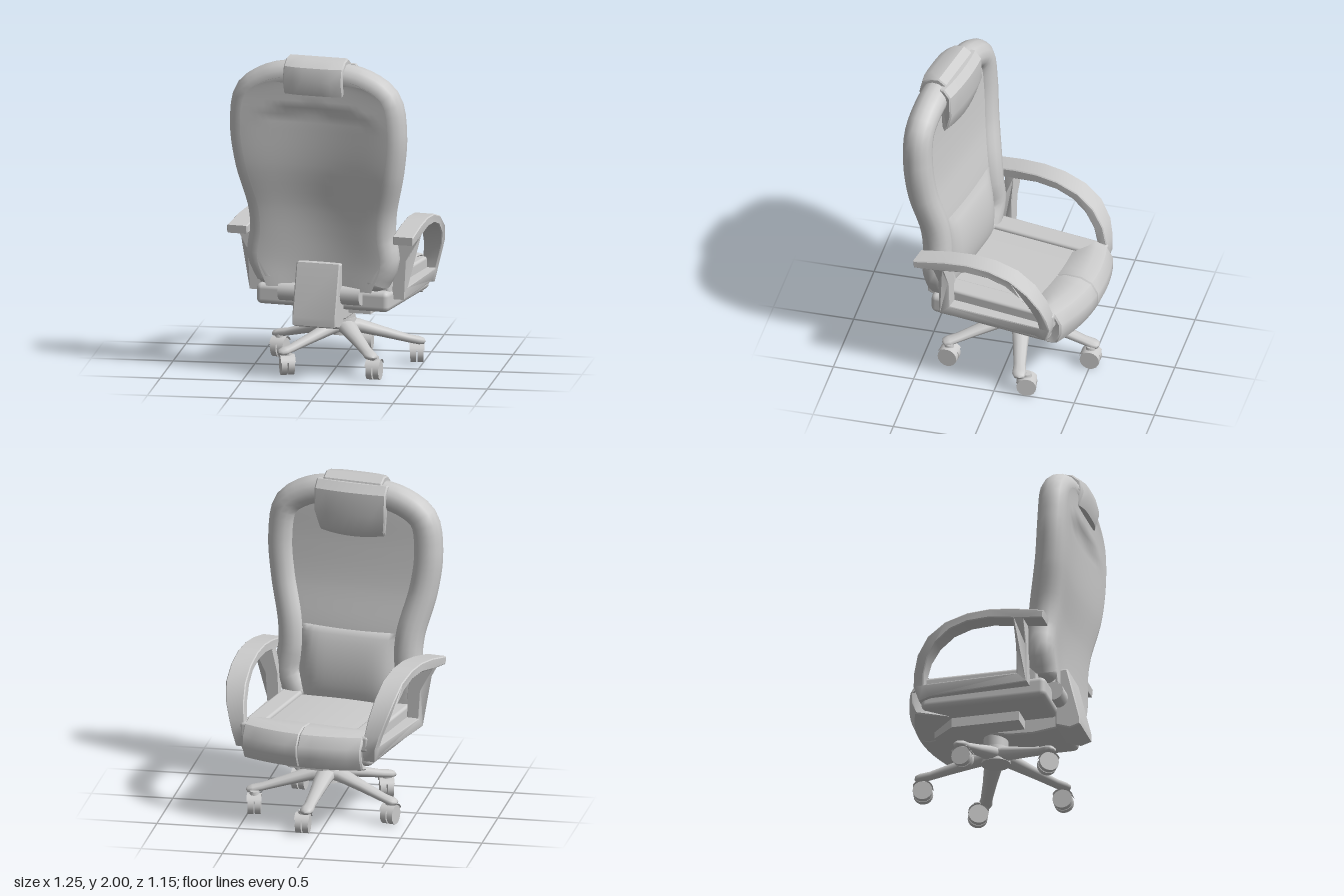
import * as THREE from 'three';
import { toCreasedNormals } from 'three/addons/utils/BufferGeometryUtils.js';
import { RoundedBoxGeometry } from 'three/addons/geometries/RoundedBoxGeometry.js';
import { ParametricGeometry } from 'three/addons/geometries/ParametricGeometry.js';

const grey = new THREE.MeshStandardMaterial({ color: 0xcccccc });
const thin = new THREE.MeshStandardMaterial({ color: 0xcccccc, side: THREE.DoubleSide });
const { smoothstep } = THREE.MathUtils;

function add(parent, name, geo, x = 0, y = 0, z = 0, mat = grey) {
  const m = new THREE.Mesh(geo, mat);
  m.name = name;
  m.position.set(x, y, z);
  parent.add(m);
  return m;
}

// Side profile of [z, y] points, extruded along x and centred
function sideExtrude(points, width, { hole, steps = 1, bevel = 0.008 } = {}) {
  const toV = (l) => l.map(([z, y]) => new THREE.Vector2(z, y));
  const shape = new THREE.Shape(toV(points));
  if (hole) shape.holes.push(new THREE.Path(toV(hole)));
  const depth = width - 2 * bevel;
  return new THREE.ExtrudeGeometry(shape, {
    depth, steps, bevelEnabled: true, bevelSize: bevel, bevelThickness: bevel,
    bevelOffset: -bevel, bevelSegments: 1,
  }).translate(0, 0, -depth / 2).rotateY(-Math.PI / 2);
}

// Move every vertex by a rule
function warp(geo, rule) {
  const p = geo.attributes.position, v = new THREE.Vector3();
  for (let i = 0; i < p.count; i++) {
    rule(v.fromBufferAttribute(p, i));
    p.setXYZ(i, v.x, v.y, v.z);
  }
  return toCreasedNormals(geo, 0.6);
}

// Oval sections [r, y, halfWidth, halfHeight] joined along +z
function loftLeg(sections, sides = 10) {
  const pos = [], idx = [];
  for (const [r, y, w, h] of sections) {
    for (let i = 0; i < sides; i++) {
      const a = (i / sides) * Math.PI * 2;
      pos.push(Math.cos(a) * w, y + Math.sin(a) * h, r);
    }
  }
  for (let s = 0; s < sections.length - 1; s++) {
    for (let i = 0; i < sides; i++) {
      const a = s * sides + i, b = s * sides + (i + 1) % sides;
      idx.push(a, b, a + sides, b, b + sides, a + sides);
    }
  }
  const g = new THREE.BufferGeometry();
  g.setAttribute('position', new THREE.Float32BufferAttribute(pos, 3));
  g.setIndex(idx);
  g.computeVertexNormals();
  return g;
}

function buildBackrest(chair) {
  const back = new THREE.Group();
  back.name = 'backrest';
  chair.add(back);
  // Centre line of the padded rim, bottom to top
  const half = [
    [0.335, 0.62, 0.375], [0.393, 0.74, 0.375], [0.373, 0.9, 0.38], [0.382, 1.05, 0.395], [0.447, 1.32, 0.445],
    [0.472, 1.56, 0.466], [0.437, 1.76, 0.473], [0.3, 1.852, 0.476], [0.14, 1.885, 0.478], [0, 1.895, 0.478],
  ].map((p) => new THREE.Vector3(...p));
  const mirrored = half.slice(0, -1).reverse().map((p) => new THREE.Vector3(-p.x, p.y, p.z));
  const curve = new THREE.CatmullRomCurve3([...half, ...mirrored]);
  add(back, 'backRim', new THREE.TubeGeometry(curve, 64, 0.09, 14));
  for (const s of [-1, 1]) {
    add(back, 'rimEnd', new THREE.SphereGeometry(0.09, 14, 8).scale(1, 0.7, 1), s * 0.335, 0.62, 0.375);
  }

  // Rear shell, flush with the rim and hollowed below the head, and front panel
  const halfCurve = new THREE.CatmullRomCurve3(half);
  const span = (depth) => new ParametricGeometry((u, v, t) => {
    const p = halfCurve.getPoint(v), s = 2 * u - 1;
    t.set(p.x * s, p.y - (1 - v) ** 8 * 0.06, p.z + depth(s, p.y));
  }, 20, 40);
  add(back, 'backShell', span((s, y) => 0.09 - 0.01 * (1 - s * s)
    - 0.03 * (1 - s * s) ** 2 * (1 - smoothstep(y + 0.1 * s * s, 1.64, 1.74))), 0, 0, 0, thin);
  add(back, 'frontPanel', span((s) => -0.04 - 0.01 * (1 - s * s)), 0, 0, 0, thin);

  // Bulging lumbar pad
  add(back, 'lumbarPad', new ParametricGeometry((u, v, t) => {
    const s = 2 * u - 1, y = 0.58 + 0.47 * v;
    const bulge = Math.sqrt(Math.sin(Math.PI * v) + 1e-6) * (1 - s ** 6);
    t.set(s * 0.31, y, 0.32 + 0.03 * v - 0.06 * bulge);
  }, 14, 12), 0, 0, 0, thin);

  // Headrest: strap over the top and pillow in front
  const strap = [[0.585, 1.78], [0.61, 1.87], [0.59, 1.95], [0.54, 1.99], [0.46, 2], [0.41, 1.97],
    [0.38, 1.88], [0.42, 1.88], [0.45, 1.9], [0.52, 1.9], [0.54, 1.78]];
  add(back, 'headrestStrap', warp(sideExtrude(strap, 0.38, { steps: 6 }), (v) => {
    if (v.z > 0.5) v.z -= 0.025 * (v.x / 0.19) ** 4;
  }));
  const pillow = [[0.42, 1.96], [0.39, 1.96], [0.35, 1.91], [0.345, 1.77], [0.375, 1.65], [0.4, 1.62], [0.44, 1.72]];
  add(back, 'headrestPillow', warp(sideExtrude(pillow, 0.46, { steps: 6 }), (v) => {
    const s = v.x / 0.23;
    v.z += 0.015 * s * s;
    if (v.y < 1.75) { v.y += 0.02 * s * s; v.x *= 0.92; }
  }));
}

function buildSeat(chair) {
  const seat = new THREE.Group();
  seat.name = 'seat';
  chair.add(seat);
  add(seat, 'seatPan', new RoundedBoxGeometry(0.85, 0.13, 0.78, 2, 0.035), 0, 0.495, 0.02);
  for (const s of [-1, 1]) {
    add(seat, 'sideBolster', new RoundedBoxGeometry(0.13, 0.1, 0.76, 2, 0.018), s * 0.35, 0.582, -0.02);
  }
  add(seat, 'centreCushion', warp(new THREE.BoxGeometry(0.6, 0.07, 0.66, 8, 1, 6), (v) => {
    if (v.y > 0) v.y += 0.012 * (1 - (v.x / 0.3) ** 2);
  }), 0, 0.573, 0.04);

  // Front roll in two halves with a centre seam, bowed forwards and narrower at the rear
  const roll = [[-0.22, 0.61], [-0.3, 0.645], [-0.4, 0.65], [-0.47, 0.625], [-0.51, 0.56],
    [-0.51, 0.49], [-0.48, 0.42], [-0.42, 0.405], [-0.22, 0.43]];
  for (const s of [-1, 1]) {
    const g = sideExtrude(roll, 0.385, { steps: 5, bevel: 0.008 });
    g.translate(s * 0.1925, 0, 0);
    add(seat, 'frontRoll', warp(g, (v) => {
      if (v.z < -0.35) v.z += 0.07 * (v.x / 0.38) ** 2;
      else v.x *= 1 - 0.3 * smoothstep(v.z, -0.38, -0.22);
    }));
  }
}

function buildArms(chair) {
  const outer = [[0.44, 0.865], [0.445, 0.915], [0.25, 0.955], [0.1, 0.972], [-0.04, 0.965], [-0.18, 0.925],
    [-0.29, 0.845], [-0.36, 0.74], [-0.39, 0.64], [-0.4, 0.56], [-0.37, 0.47], [-0.3, 0.49],
    [0.315, 0.5], [0.315, 0.74], [0.315, 0.88]];
  const hole = [[0.25, 0.89], [0.1, 0.915], [-0.04, 0.91], [-0.15, 0.875], [-0.24, 0.805],
    [-0.3, 0.72], [-0.33, 0.63], [-0.335, 0.565], [0.25, 0.565], [0.25, 0.74]];
  for (const s of [-1, 1]) {
    const g = warp(sideExtrude(outer, 0.13, { hole, bevel: 0.006 }), (v) => {
      // Pad is wide on top; the frame narrows and leans in, sooner at the rear post
      const low = 1 - smoothstep(v.y, v.z > 0.2 ? 0.7 : 0.45, 0.88);
      v.x = v.x * (1 - 0.4 * low) + s * (0.502 + 0.065 * v.z - 0.065 * low);
    });
    add(chair, s > 0 ? 'leftArmrest' : 'rightArmrest', g);
    add(chair, 'armBolt', new THREE.CylinderGeometry(0.025, 0.025, 0.07, 10).rotateZ(Math.PI / 2), s * 0.4, 0.6, -0.36);
  }
}

function buildMechanism(chair) {
  // Angled plate under the seat
  const outline = [[-0.24, 0.2], [-0.24, -0.22], [-0.11, -0.36], [0.11, -0.36], [0.24, -0.22], [0.24, 0.2]];
  const plate = new THREE.ExtrudeGeometry(
    new THREE.Shape(outline.map(([x, z]) => new THREE.Vector2(x, -z))), { depth: 0.07, bevelEnabled: false });
  add(chair, 'tiltPlate', plate.rotateX(-Math.PI / 2), 0, 0.37, 0);
  add(chair, 'backLink', sideExtrude([[-0.02, 0.37], [0.1, 0.345], [0.25, 0.34], [0.48, 0.37], [0.48, 0.44], [-0.02, 0.44]], 0.2));
  add(chair, 'backBracket', toCreasedNormals(sideExtrude(
    [[0.49, 0.33], [0.555, 0.35], [0.555, 0.4], [0.475, 0.725], [0.4, 0.725], [0.4, 0.36]], 0.28), 0.5));
  add(chair, 'crossBar', new THREE.CylinderGeometry(0.06, 0.06, 0.52, 14).rotateZ(Math.PI / 2), 0, 0.53, 0.42);
}

function buildBase(root) {
  const base = new THREE.Group();
  base.name = 'swivelBase';
  base.position.set(0.03, 0, -0.055);
  root.add(base);
  add(base, 'column', new THREE.CylinderGeometry(0.075, 0.075, 0.12, 20), 0, 0.34, 0);
  add(base, 'hub', new THREE.CylinderGeometry(0.08, 0.09, 0.1, 20), 0, 0.25, 0);
  // Each caster's swivel angle and trail from the leg tip
  const swivel = [[0, 0.025, 0], [0.15, -0.01, -0.045], [-0.1, 0.025, 0], [0.3, 0.01, 0], [-0.25, 0, 0.01]];
  swivel.forEach(([turn, dx, dz], i) => {
    const a = Math.PI - 0.1 - (i * 2 * Math.PI) / 5;
    const leg = add(base, 'leg', loftLeg([[0, 0.255, 0.075, 0.045], [0.1, 0.242, 0.058, 0.042], [0.26, 0.197, 0.044, 0.032],
      [0.4, 0.158, 0.037, 0.025], [0.46, 0.146, 0.043, 0.025], [0.49, 0.142, 0.032, 0.018], [0.5, 0.14, 0.001, 0.001]]));
    leg.rotation.y = a;

    // Twin-wheel caster
    const caster = new THREE.Group();
    caster.name = 'caster';
    caster.position.set(Math.sin(a) * 0.45 + dx, 0, Math.cos(a) * 0.45 + dz);
    caster.rotation.y = turn;
    base.add(caster);
    add(caster, 'stem', new THREE.CylinderGeometry(0.028, 0.034, 0.05, 10), 0, 0.118, 0);
    for (const s of [-1, 1]) {
      add(caster, 'wheel', new THREE.CylinderGeometry(0.06, 0.06, 0.036, 16).rotateZ(Math.PI / 2), s * 0.022, 0.06, 0);
    }
    add(caster, 'hood', new THREE.CylinderGeometry(0.068, 0.068, 0.09, 10, 1, true, 0, Math.PI * 0.7)
      .rotateZ(Math.PI / 2).rotateX(-0.4), 0, 0.06, 0, thin);
  });
}

export function createModel() {
  const root = new THREE.Group();
  root.name = 'officeChair';
  // Upper part is swivelled on its base
  const chair = new THREE.Group();
  chair.name = 'swivelledUpper';
  chair.position.set(0.037, 0, -0.05);
  chair.rotation.y = -0.18;
  root.add(chair);
  buildBackrest(chair);
  buildSeat(chair);
  buildArms(chair);
  buildMechanism(chair);
  buildBase(root);
  return root;
}
